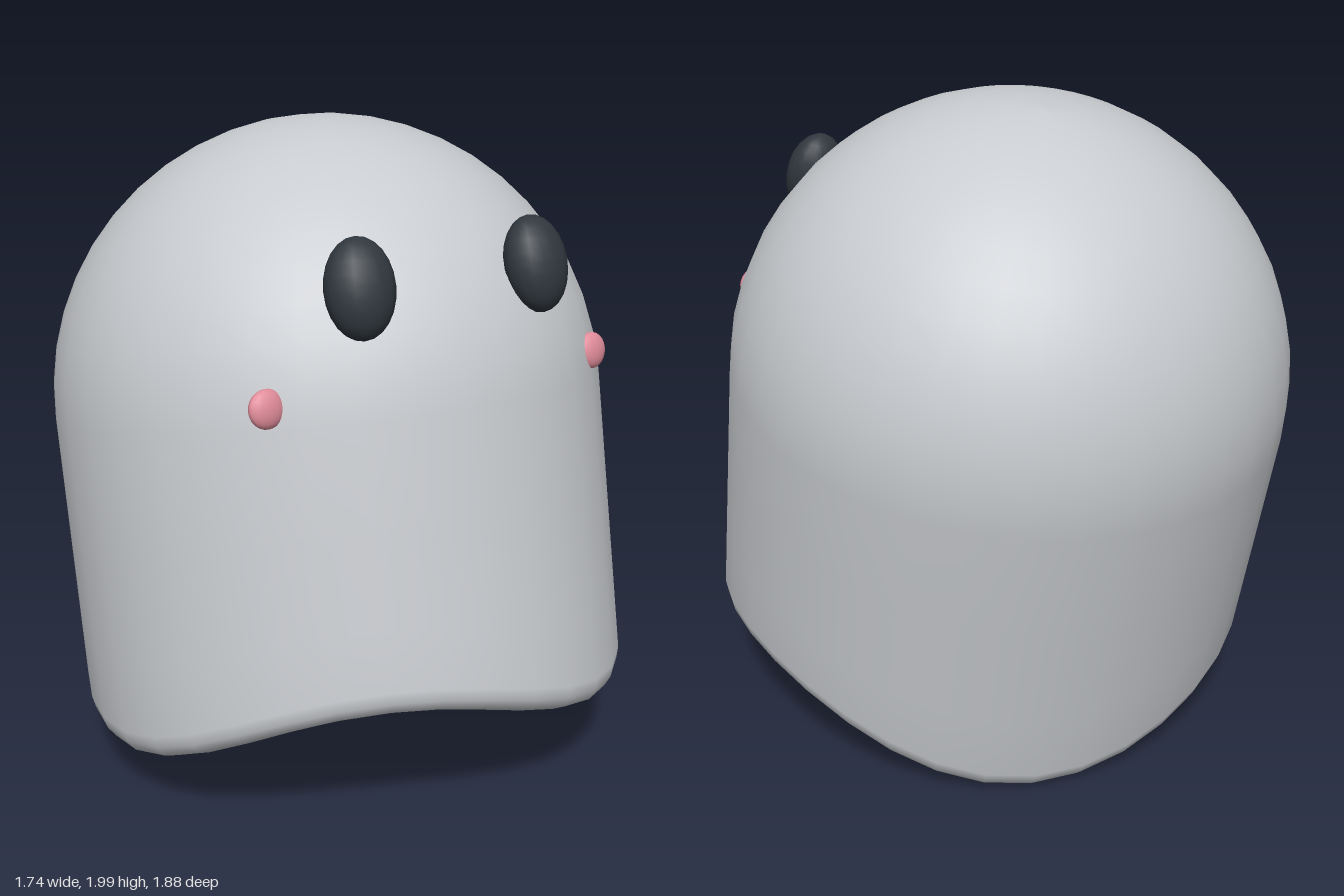
import * as THREE from 'three';

const R = 0.868, SEG = 36, TILT = -0.21;

// Height of the three-lobed wavy hem around the body
const hem = (t) => -0.91 + 0.078 * Math.cos(3 * (t - 1.95));

// Domed body: rings from the crown, down the wall, round the hem and across the underside
function bodyGeometry() {
  const rings = [];
  for (let i = 0; i <= 12; i++) {
    const a = (i / 12) * Math.PI / 2;
    rings.push(() => [R * Math.sin(a), R * Math.cos(a)]);
  }
  for (const f of [0.35, 0.7]) rings.push((t) => [R, f * hem(t)]);
  for (const [inset, lift] of [[0, 0.08], [0.008, 0.045], [0.03, 0.015], [0.075, 0]]) {
    rings.push((t) => [R - inset, hem(t) + lift]);
  }
  for (const f of [0.75, 0.5, 0.25, 0]) {
    rings.push((t) => [(R - 0.075) * f, THREE.MathUtils.lerp(-0.91, hem(t), f)]);
  }
  const pos = [], index = [];
  rings.forEach((ring, j) => {
    for (let i = 0; i < SEG; i++) {
      const t = (i / SEG) * Math.PI * 2;
      const [r, y] = ring(t);
      pos.push(r * Math.cos(t), y, r * Math.sin(t));
      if (j === rings.length - 1) continue;
      const a = j * SEG + i, b = j * SEG + (i + 1) % SEG;
      index.push(a, b, a + SEG, b, b + SEG, a + SEG);
    }
  });
  const geo = new THREE.BufferGeometry();
  geo.setAttribute('position', new THREE.Float32BufferAttribute(pos, 3));
  geo.setIndex(index);
  geo.computeVertexNormals();
  return geo;
}

export function createModel() {
  const mat = (name, color) => {
    const m = new THREE.MeshStandardMaterial({ color });
    m.name = name;
    return m;
  };
  const bodyMat = mat('pale grey', 0xc8cbcf);
  const eyeMat = mat('charcoal', 0x30373e);
  const cheekMat = mat('pink', 0xe08c9a);

  const group = new THREE.Group();
  group.name = 'ghost';

  const body = new THREE.Mesh(bodyGeometry(), bodyMat);
  body.name = 'body';
  body.position.set(0, 1.13, -0.09);
  body.rotation.x = TILT;
  group.add(body);

  // Flattened ball set against the body
  const ball = new THREE.SphereGeometry(1, 16, 12);
  const addBall = (name, material, position, scale, pitch, yaw) => {
    const m = new THREE.Mesh(ball, material);
    m.name = name;
    m.position.set(...position);
    m.scale.set(...scale);
    m.rotation.set(pitch, yaw, 0, 'YXZ');
    group.add(m);
  };
  const eyeSize = [0.1, 0.14, 0.08];
  addBall('rightEye', eyeMat, [-0.265, 1.645, 0.615], eyeSize, -0.3, -0.15);
  addBall('leftEye', eyeMat, [0.315, 1.645, 0.59], eyeSize, -0.3, 0.2);

  const cheekSize = [0.057, 0.055, 0.027];
  addBall('rightCheek', cheekMat, [-0.525, 1.338, 0.578], cheekSize, -0.2, 0.15);
  addBall('leftCheek', cheekMat, [0.575, 1.338, 0.53], cheekSize, -0.2, 0.25);

  return group;
}
